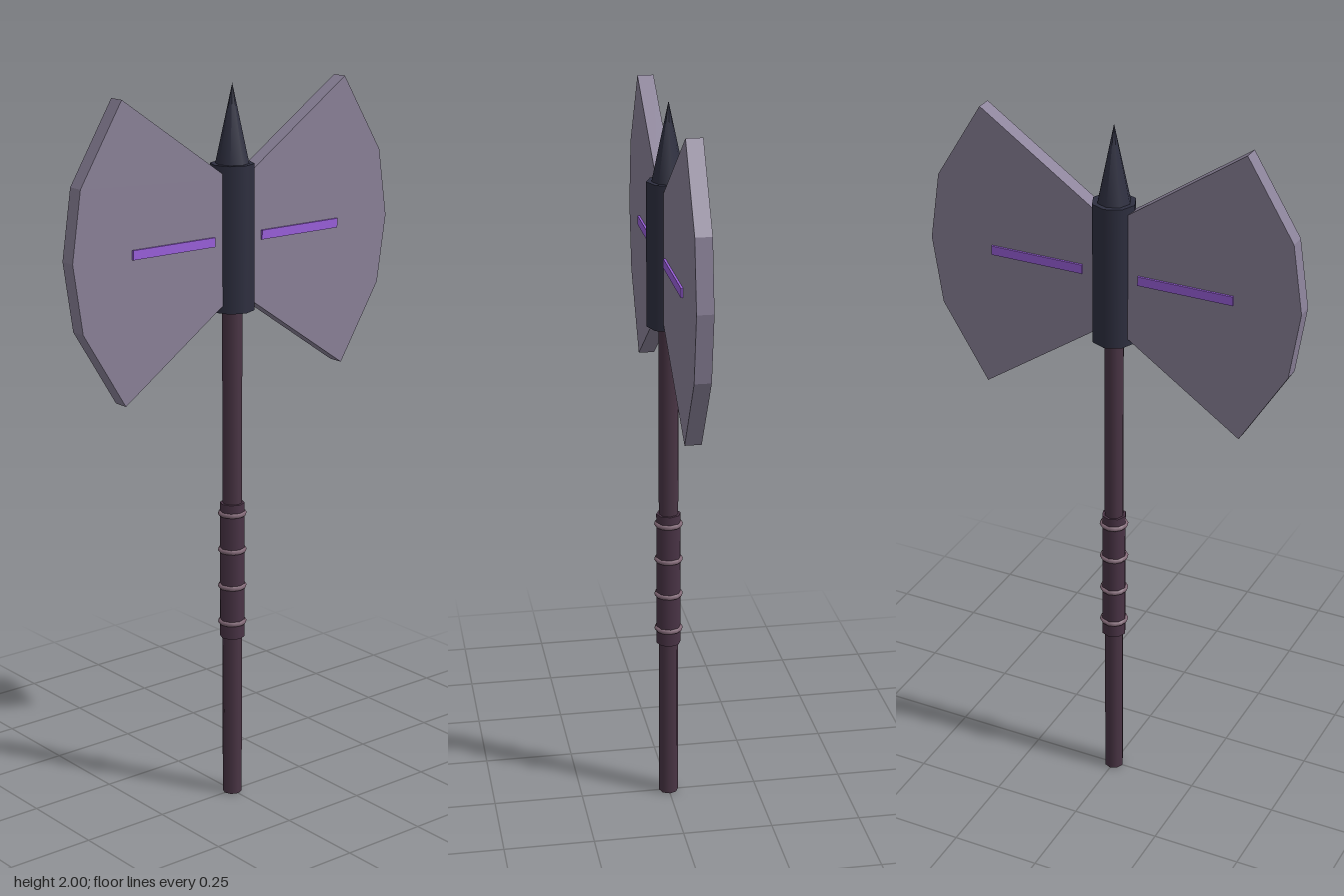
import * as THREE from 'three';

const material = (name, color) => {
  const m = new THREE.MeshStandardMaterial({ color });
  m.name = name;
  return m;
};

export function createModel() {
  const group = new THREE.Group();
  const wood = material('dark wood', 0x4a3545);
  const leather = material('grip leather', 0x4a3446);
  const binding = material('grip binding', 0x836a78);
  const iron = material('dark iron', 0x2e2f40);
  const steel = material('blade steel', 0x8b8299);
  const rune = material('purple inlay', 0x9a5fdb);

  const add = (name, geometry, mat, x = 0, y = 0, z = 0) => {
    const mesh = new THREE.Mesh(geometry, mat);
    mesh.name = name;
    mesh.position.set(x, y, z);
    group.add(mesh);
    return mesh;
  };

  // Shaft and wrapped grip
  add('shaft', new THREE.CylinderGeometry(0.027, 0.027, 1.42, 8), wood, 0, 0.71);
  add('grip', new THREE.CylinderGeometry(0.034, 0.034, 0.39, 8), leather, 0, 0.665);
  for (let i = 0; i < 4; i++) {
    const ring = new THREE.TorusGeometry(0.033, 0.007, 6, 12).rotateX(Math.PI / 2);
    add('gripRing', ring, binding, 0, 0.515 + i * 0.105);
  }

  // Collar and top spike
  add('collar', new THREE.CylinderGeometry(0.059, 0.059, 0.392, 8), iron, 0, 1.595);
  add('spike', new THREE.ConeGeometry(0.045, 0.21, 8), iron, 0, 1.895);

  // Mirrored blades with inlays on both faces
  const outline = [[0.03, 1.757], [0.37, 1.99], [0.5, 1.78], [0.528, 1.595],
    [0.5, 1.41], [0.37, 1.2], [0.03, 1.433]];
  for (const side of [1, -1]) {
    const shape = new THREE.Shape(outline.map(([x, y]) => new THREE.Vector2(side * x, y)));
    const blade = new THREE.ExtrudeGeometry(shape, { depth: 0.044, bevelEnabled: false });
    add(side > 0 ? 'leftBlade' : 'rightBlade', blade, steel, 0, 0, -0.022);
    for (const face of [1, -1]) {
      add('bladeInlay', new THREE.BoxGeometry(0.265, 0.025, 0.008), rune,
        side * 0.212, 1.595, face * 0.024);
    }
  }
  return group;
}
